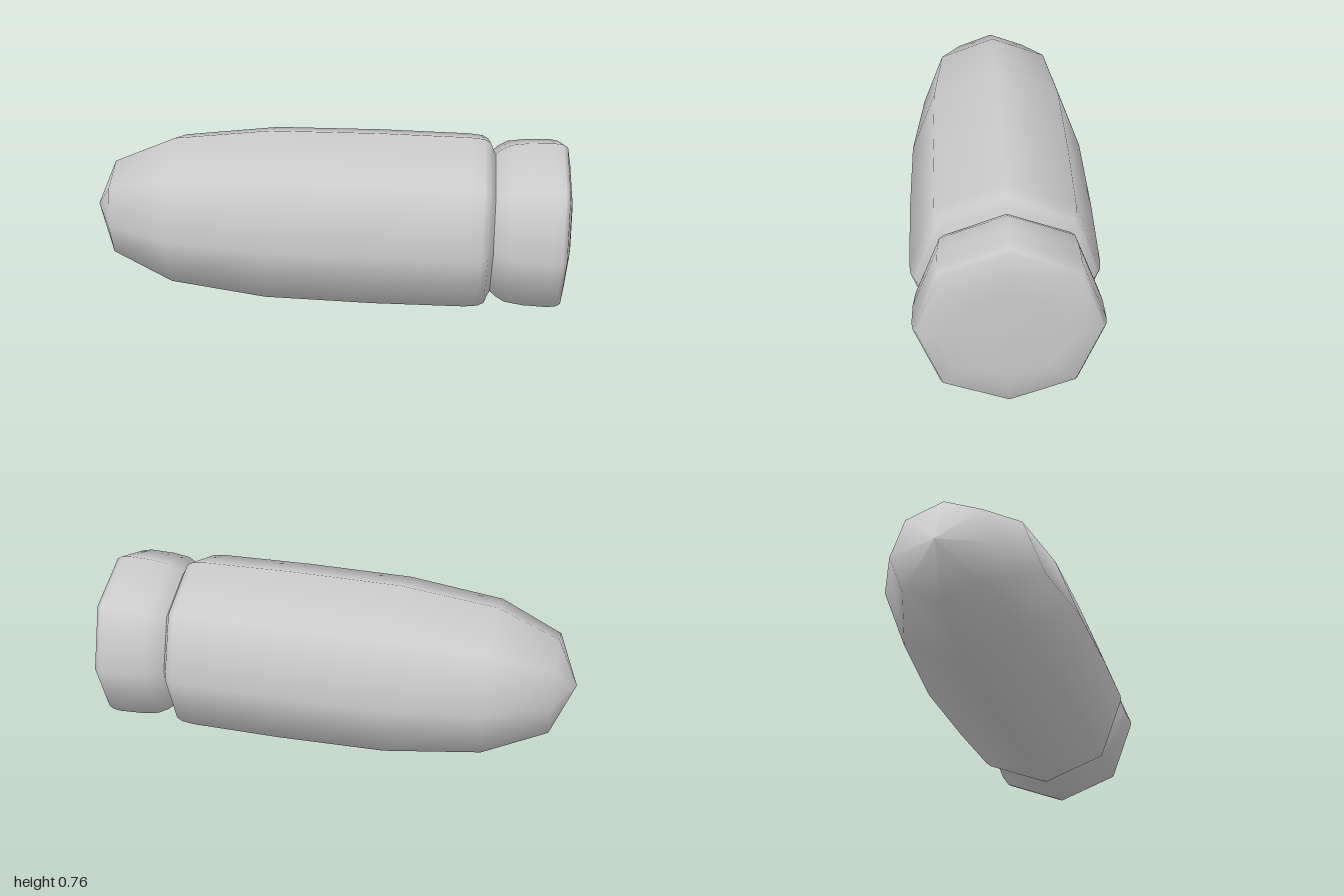
import * as THREE from 'three';

const SIDES = 8;
const AXIS_Y = 0.38;

// Eight-sided smooth turned part along x; profile is [x, radius] from tip to base
function turned(name, profile) {
  const geo = new THREE.LatheGeometry(profile.map(([x, r]) => new THREE.Vector2(r, x)), SIDES);
  geo.rotateZ(-Math.PI / 2);
  // diagonal corners bulge slightly, and the section is a touch narrower in z
  const p = geo.attributes.position;
  for (let i = 0; i < p.count; i++) {
    const y = p.getY(i), z = p.getZ(i);
    const k = Math.abs(y * z) > 1e-6 ? 1.025 : 1;
    p.setXYZ(i, p.getX(i), y * k, z * k * 0.988);
  }
  const mesh = new THREE.Mesh(geo, new THREE.MeshStandardMaterial({ color: 0xcccccc }));
  mesh.name = name;
  mesh.position.y = AXIS_Y;
  return mesh;
}

export function createModel() {
  const group = new THREE.Group();
  group.name = 'bullet';

  // pointed nose and long body, ending at the groove
  group.add(turned('body', [
    [-1, 0], [-0.91, 0.207], [-0.65, 0.323], [-0.25, 0.372], [0.2, 0.378],
    [0.58, 0.374], [0.635, 0.368], [0.66, 0.355], [0.672, 0.325], [0.683, 0.305],
  ]));

  // rounded base rim with a shallow domed end
  group.add(turned('baseRim', [
    [0.683, 0.305], [0.705, 0.325], [0.745, 0.347], [0.82, 0.358], [0.92, 0.361],
    [0.955, 0.356], [0.973, 0.345], [0.988, 0.27], [0.997, 0.2], [1, 0],
  ]));

  return group;
}
